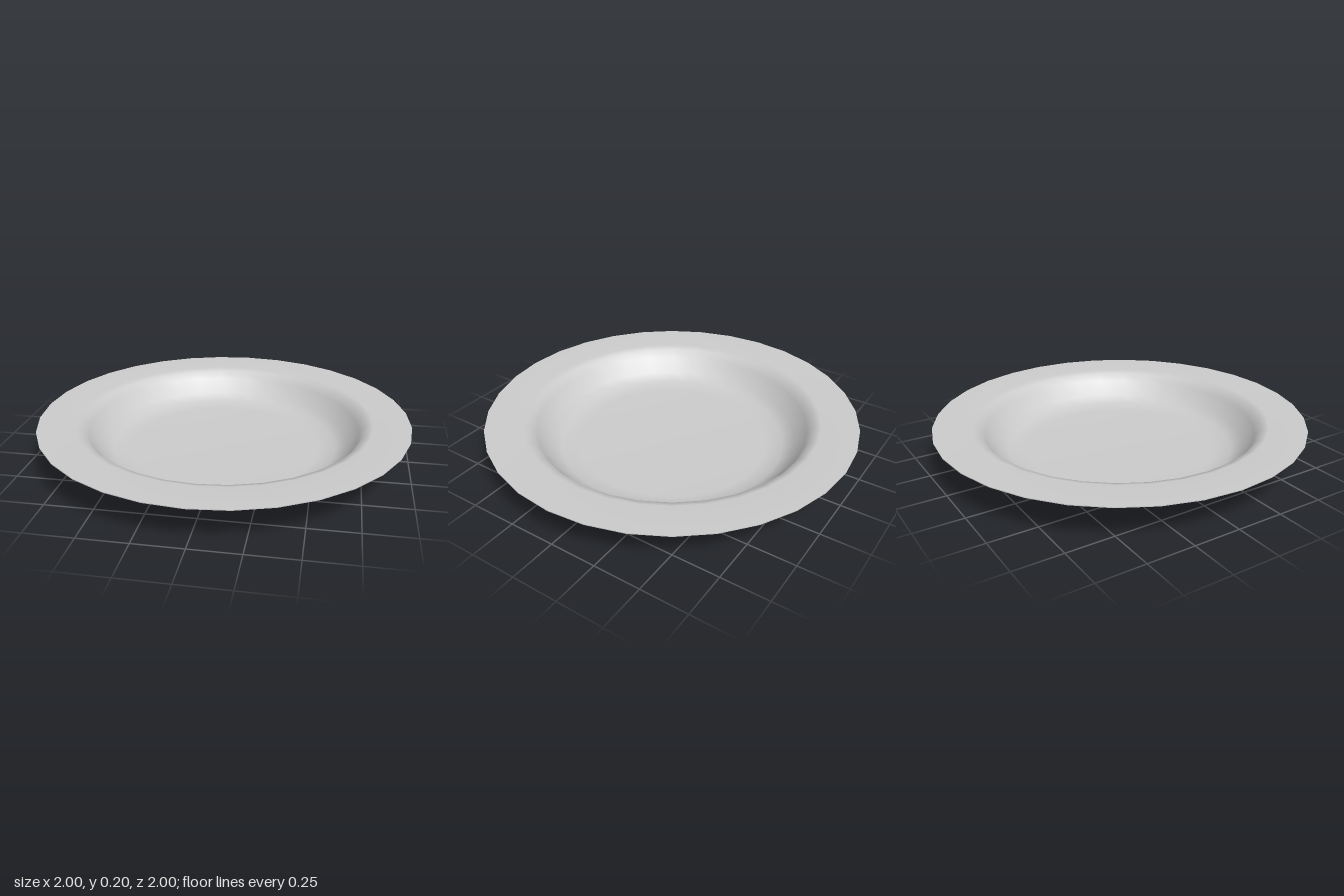
import * as THREE from 'three';

const SIDES = 32;

// Turns a profile of [radius, height] points about the y axis
function turned(name, profile, material) {
  const points = profile.map(([r, y]) => new THREE.Vector2(r, y));
  const mesh = new THREE.Mesh(new THREE.LatheGeometry(points, SIDES), material);
  mesh.name = name;
  return mesh;
}

export function createModel() {
  const plate = new THREE.Group();
  plate.name = 'plate';

  const glaze = new THREE.MeshStandardMaterial({ color: 0xcccccc });
  glaze.name = 'pale grey glaze';

  // Underside: flat foot, sloping wall, thin rim, from the centre outwards
  plate.add(turned('underside', [
    [0, 0], [0.5, 0.002], [0.56, 0.008], [0.7, 0.045], [0.78, 0.12],
    [0.825, 0.18], [0.86, 0.192], [1, 0.198],
  ], glaze));

  // Narrow outer edge
  plate.add(turned('rimEdge', [[1, 0.198], [1, 0.202]], glaze));

  // Upper side: broad rim, sloping wall and floor, from the edge inwards
  plate.add(turned('upperSide', [
    [1, 0.202], [0.8, 0.2], [0.76, 0.188], [0.73, 0.15], [0.67, 0.075],
    [0.61, 0.042], [0.52, 0.026], [0, 0.024],
  ], glaze));

  return plate;
}
